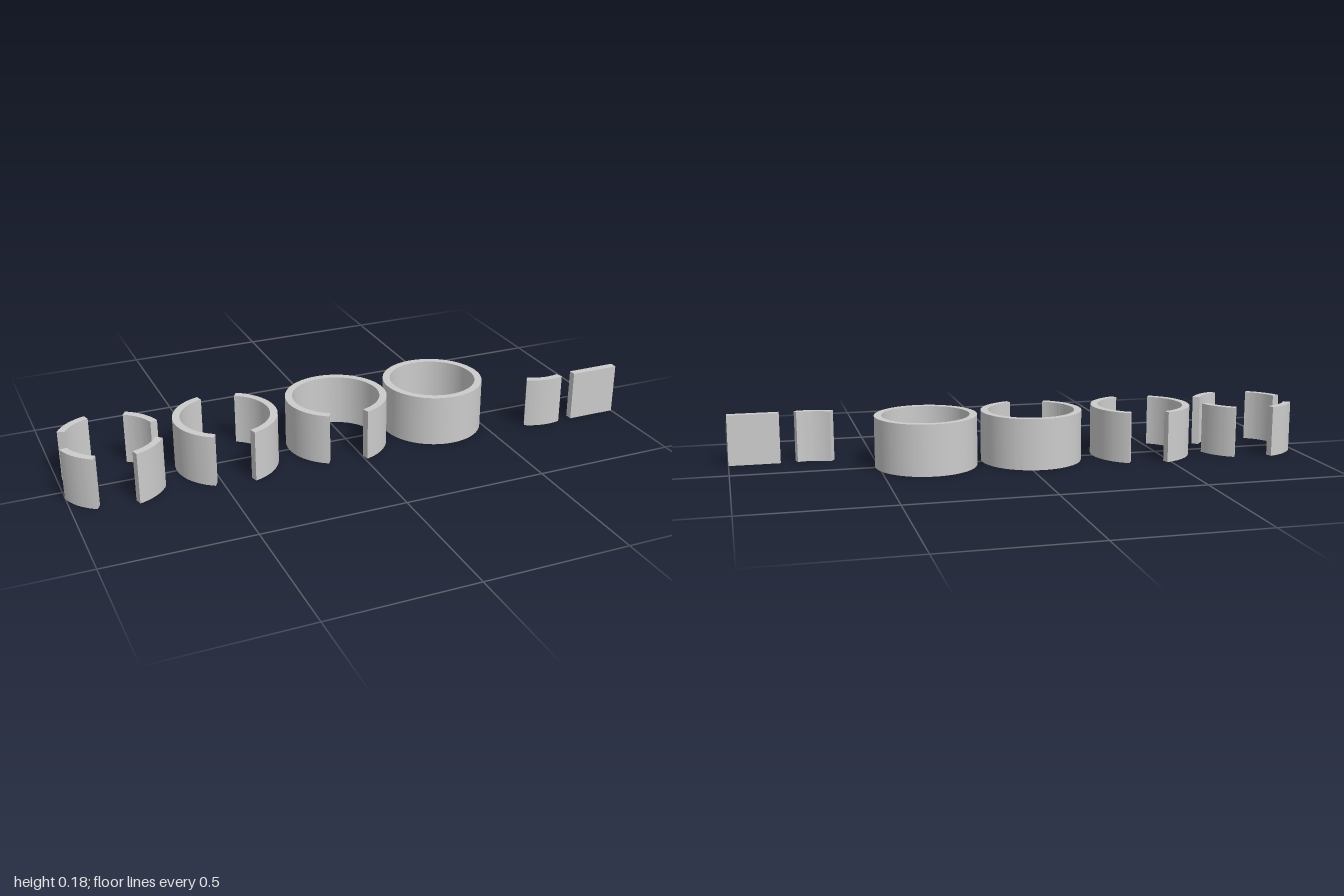
import * as THREE from 'three';
import { toCreasedNormals } from 'three/addons/utils/BufferGeometryUtils.js';

const R = 0.1765, RI = 0.151, H = 0.177;
const material = new THREE.MeshStandardMaterial({ color: 0xcccccc });

// Wall section between two angles in degrees, measured from +x towards +z
function wall(name, from, to) {
  const a = THREE.MathUtils.degToRad(from), b = THREE.MathUtils.degToRad(to);
  const shape = new THREE.Shape();
  shape.absarc(0, 0, R, a, b, false);
  if (to - from >= 360) {
    shape.holes.push(new THREE.Path().absarc(0, 0, RI, 0, Math.PI * 2, true));
  } else {
    shape.absarc(0, 0, RI, b, a, true);
    shape.closePath();
  }
  const curveSegments = Math.max(12, Math.ceil((to - from) / 4));
  const geometry = new THREE.ExtrudeGeometry(shape, { depth: H, bevelEnabled: false, curveSegments });
  geometry.rotateX(Math.PI / 2).translate(0, H, 0);
  const mesh = new THREE.Mesh(toCreasedNormals(geometry, 0.6), material);
  mesh.name = name;
  return mesh;
}

export function createModel() {
  const model = new THREE.Group();
  model.name = 'curvedWallSet';

  // Each set shares one ring centre; arcs are [from, to] in degrees
  const sets = [
    ['fourGapRing', -0.831, [[30, 75], [120, 165], [210, 255], [300, 345]]],
    ['twoGapRing', -0.4395, [[120, 255], [300, 435]]],
    ['oneGapRing', -0.037, [[120, 435]]],
    ['closedRing', 0.336, [[0, 360]]],
    ['singleCurvedPanel', 0.725, [[75, 120]]],
  ];
  for (const [name, x, arcs] of sets) {
    const group = new THREE.Group();
    group.name = name;
    group.position.x = x;
    arcs.forEach(([from, to], i) => group.add(wall(`${name}Wall${i + 1}`, from, to)));
    model.add(group);
  }

  // Straight panel at the left end
  const panel = new THREE.Mesh(new THREE.BoxGeometry(H, H, 0.027), material);
  panel.name = 'flatPanel';
  panel.position.set(1 - H / 2, H / 2, 0.156);
  model.add(panel);
  return model;
}
